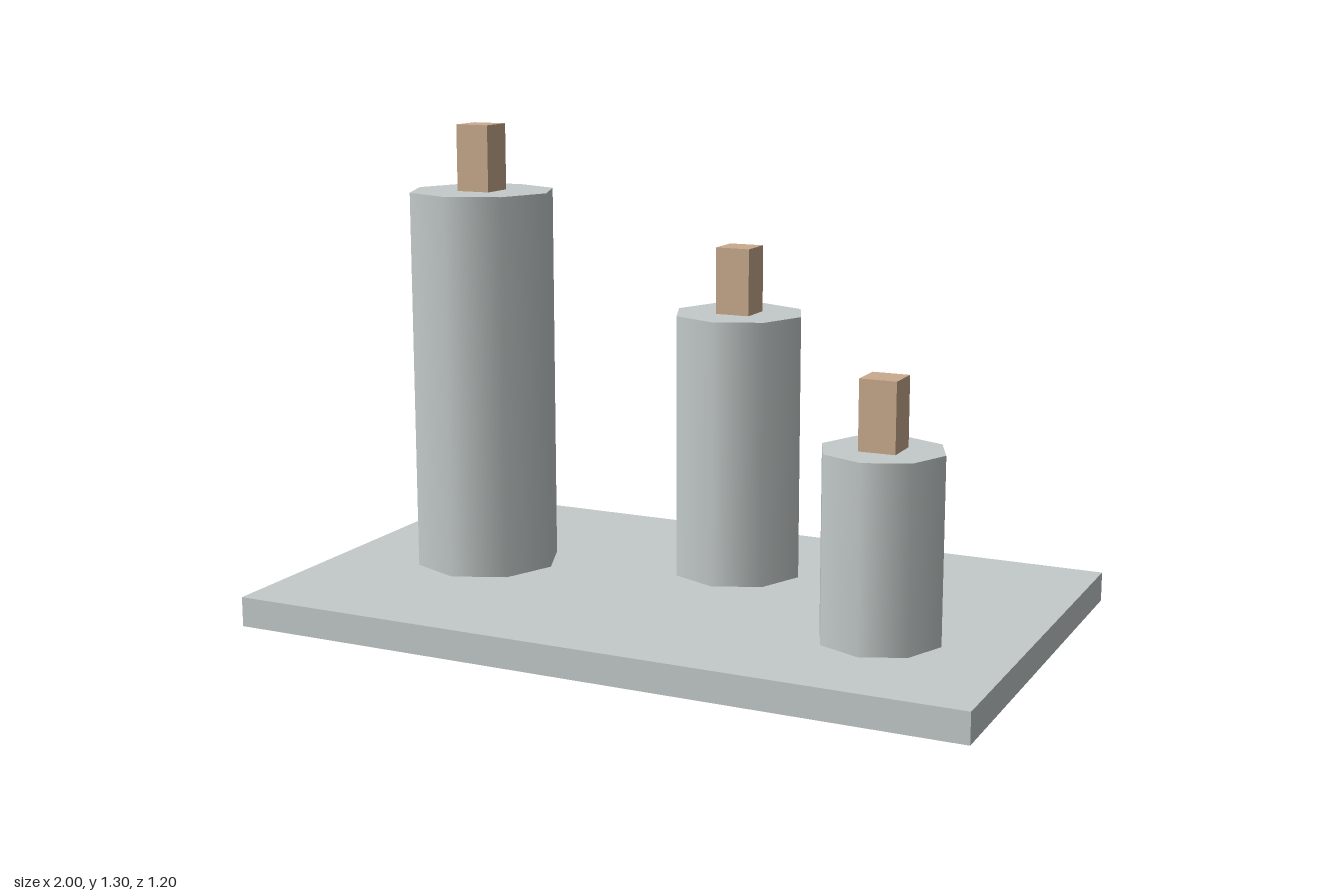
import * as THREE from 'three';

export function createModel() {
  const model = new THREE.Group();
  const wax = new THREE.MeshStandardMaterial({ name: 'pale grey', color: 0xc4cbca });
  const cord = new THREE.MeshStandardMaterial({ name: 'tan', color: 0xc9aa8d });

  const add = (name, geometry, material, x, y, z, parent) => {
    const mesh = new THREE.Mesh(geometry, material);
    mesh.name = name;
    mesh.position.set(x, y, z);
    parent.add(mesh);
  };

  // Rectangular tray
  const trayHeight = 0.08;
  add('tray', new THREE.BoxGeometry(2, trayHeight, 1.2), wax, 0, trayHeight / 2, 0, model);

  // Three eight-sided candles, each with a square wick
  const candles = [
    { name: 'tallCandle', x: -0.6, z: 0, radius: 0.2, height: 1.04 },
    { name: 'middleCandle', x: 0.08, z: -0.2, radius: 0.18, height: 0.72 },
    { name: 'shortCandle', x: 0.64, z: 0.2, radius: 0.16, height: 0.48 },
  ];
  const wickWidth = 0.096, wickHeight = 0.18;
  for (const { name, x, z, radius, height } of candles) {
    const candle = new THREE.Group();
    candle.name = name;
    candle.position.set(x, trayHeight, z);
    add('candleBody', new THREE.CylinderGeometry(radius, radius, height, 8), wax, 0, height / 2, 0, candle);
    add('wick', new THREE.BoxGeometry(wickWidth, wickHeight, wickWidth), cord, 0, height + wickHeight / 2, 0, candle);
    model.add(candle);
  }

  return model;
}
